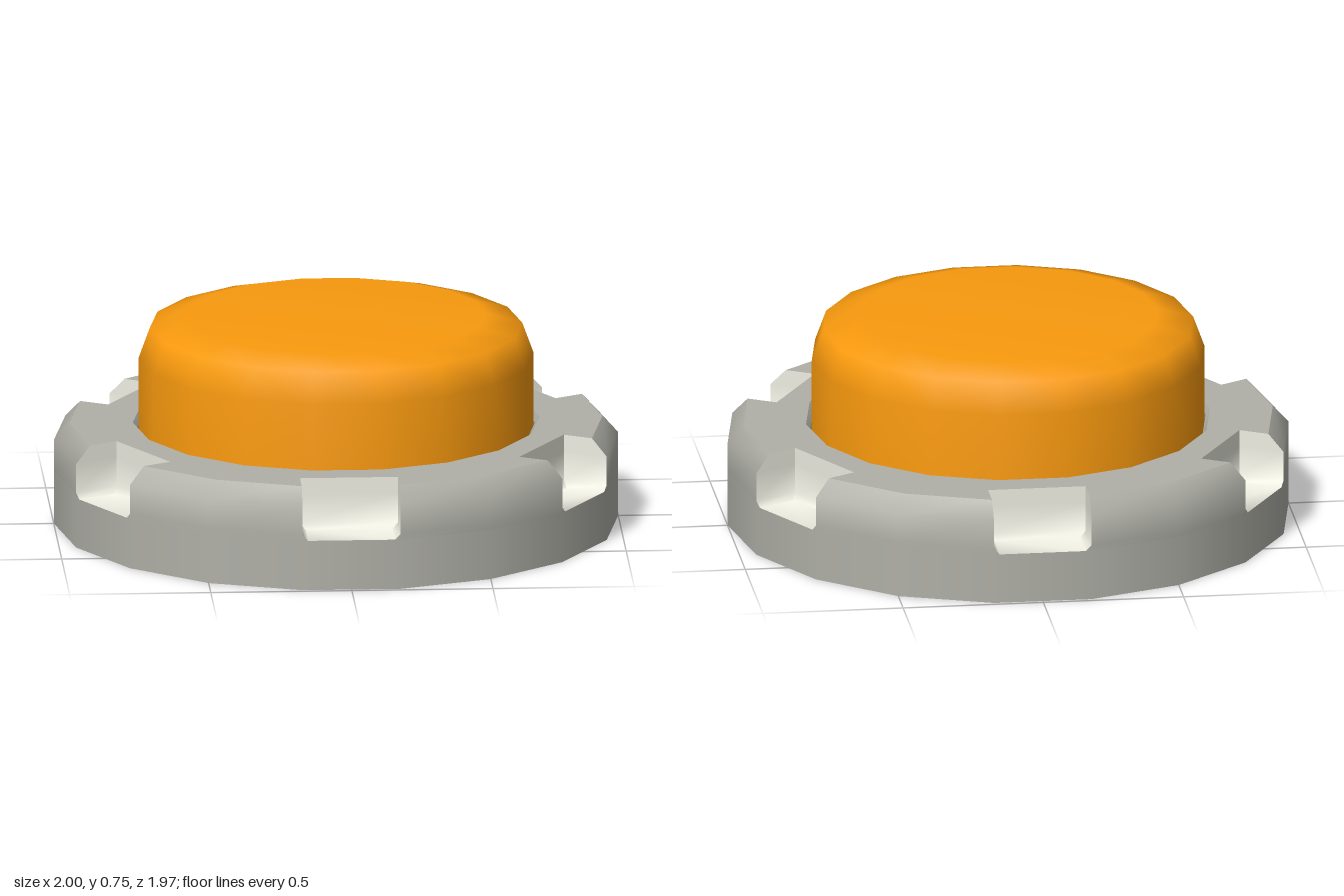
import * as THREE from 'three';
import { mergeGeometries, toCreasedNormals } from 'three/addons/utils/BufferGeometryUtils.js';

const SIDES = 18, RAD = Math.PI / 180;
const APOTHEM = Math.cos(10 * RAD), HALF = Math.sin(10 * RAD); // of one outer facet
const FLOOR = 0.18, TOP = 0.365, BACK = 0.815;                 // notch floor, rim top, notch back wall

// Heights of the rim with the fillet at the notch floor and the chamfer at the top
const LEVELS = [
  { y: FLOOR, fillet: 0.02, inset: 0 },
  { y: FLOOR + 0.02, fillet: 0, inset: 0 },
  { y: 0.305, fillet: 0, inset: 0 },
  { y: TOP, fillet: 0, inset: 0.055 },
];

// Point in the frame of notch k: distance out from the centre, and sideways
function local(k, out, side) {
  const a = (30 + 60 * k) * RAD;
  return [out * Math.cos(a) - side * Math.sin(a), out * Math.sin(a) + side * Math.cos(a)];
}

// Outline of one notch, running in, across and out again
function notchOutline(k, { fillet, inset }) {
  const mouth = APOTHEM - inset / Math.cos(20 * RAD), w = HALF - fillet, back = BACK + fillet;
  return [local(k, mouth, -w), local(k, back, -w), local(k, back, w), local(k, mouth, w)];
}

// Outline of the rim from notch k to the next one
function rimOutline(k, level) {
  const { inset } = level, sharp = { fillet: 0, inset };
  const r = 1 - inset / APOTHEM, a = (60 + 60 * k) * RAD;
  return [
    notchOutline(k, level)[3], notchOutline(k, sharp)[3],
    [r * Math.cos(a), r * Math.sin(a)],
    notchOutline(k + 1, sharp)[0], notchOutline(k + 1, level)[0],
  ];
}

function fromTriangles(points) {
  const g = new THREE.BufferGeometry();
  g.setAttribute('position', new THREE.Float32BufferAttribute(points.flat(), 3));
  return g;
}

// Skin between the outlines at successive levels
function loft(outline, k) {
  const rows = LEVELS.map(l => outline(k, l).map(([x, z]) => [x, l.y, z]));
  const tris = [];
  for (let j = 0; j < rows.length - 1; j++) {
    for (let i = 0; i < rows[j].length - 1; i++) {
      const a = rows[j][i], b = rows[j][i + 1], c = rows[j + 1][i], d = rows[j + 1][i + 1];
      tris.push(a, c, b, c, d, b);
    }
  }
  return fromTriangles(tris);
}

function notchGeometry(k) {
  const [a, b, c, d] = notchOutline(k, LEVELS[0]).map(([x, z]) => [x, FLOOR, z]);
  return mergeGeometries([loft(notchOutline, k), fromTriangles([a, b, c, a, c, d])]);
}

const lathe = pts => new THREE.LatheGeometry(
  pts.map(p => new THREE.Vector2(...p)), SIDES, Math.PI / 2);

export function createModel() {
  const model = new THREE.Group();
  const grey = new THREE.MeshStandardMaterial({ color: 0xb0b0a8 });
  const pale = new THREE.MeshStandardMaterial({ color: 0xeeeee2 });
  const orange = new THREE.MeshStandardMaterial({ color: 0xf99a0e });
  const add = (name, geometry, material) => {
    const mesh = new THREE.Mesh(geometry, material);
    mesh.name = name;
    model.add(mesh);
  };
  const indices = [0, 1, 2, 3, 4, 5];

  // Solid lower disc
  const wall = new THREE.CylinderGeometry(1, 1, FLOOR, SIDES, 1, true, Math.PI / 2);
  wall.translate(0, FLOOR / 2, 0);
  const underside = new THREE.CircleGeometry(1, SIDES).rotateX(Math.PI / 2);
  add('base', mergeGeometries([wall, underside]), grey);

  // Chamfered outer wall of the rim, between the notches
  add('rimWall', toCreasedNormals(mergeGeometries(indices.map(k => loft(rimOutline, k))), 0.9), grey);

  // Flat rim top, cut by the notches and the button opening
  const top = LEVELS[3];
  const outline = indices.flatMap(k => [...notchOutline(k, top), rimOutline(k, top)[2]]);
  const shape = new THREE.Shape(outline.map(p => new THREE.Vector2(...p)));
  const hole = Array.from({ length: SIDES }, (_, i) =>
    new THREE.Vector2(0.72 * Math.cos(i * 20 * RAD), 0.72 * Math.sin(i * 20 * RAD)));
  shape.holes.push(new THREE.Path(hole));
  add('rimTop', new THREE.ShapeGeometry(shape).rotateX(-Math.PI / 2).translate(0, TOP, 0), grey);

  // Bevelled inner edge around the button
  add('rimInnerEdge', toCreasedNormals(lathe([[0.72, TOP], [0.705, 0.345], [0.705, FLOOR]]), 0.6), grey);

  // Six recessed notches
  indices.forEach(k => add('notch' + (k + 1), toCreasedNormals(notchGeometry(k), 0.9), pale));

  // Push button with a rounded shoulder
  add('button', lathe([[0.7, FLOOR], [0.7, 0.6], [0.66, 0.71], [0.535, 0.745], [0, 0.745]]), orange);

  return model;
}
